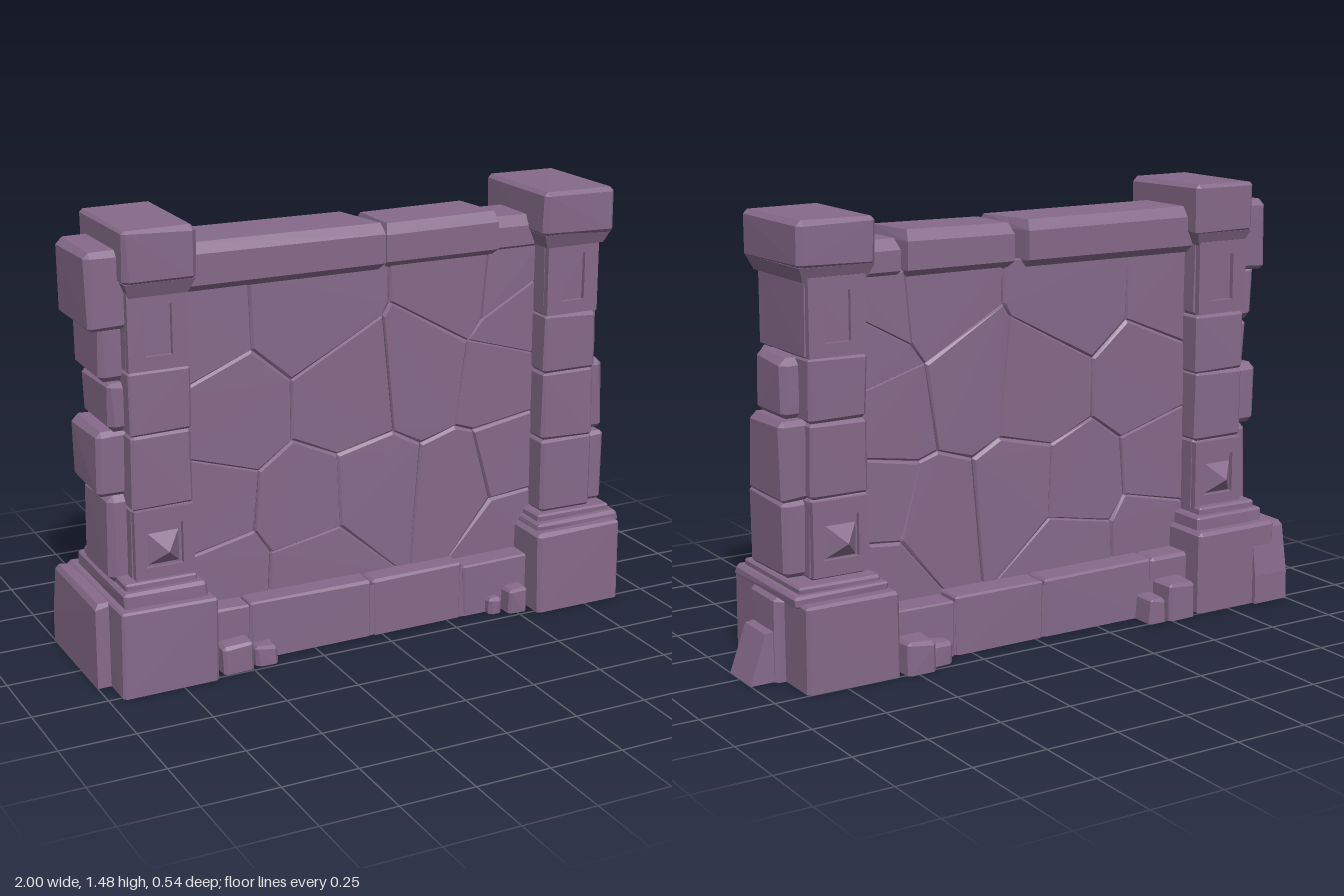
import * as THREE from 'three';
import { ConvexGeometry } from 'three/addons/geometries/ConvexGeometry.js';

const stoneMat = new THREE.MeshStandardMaterial({ color: 0x866a8a, flatShading: true });

export function createModel() {
  const root = new THREE.Group();
  let seed = 7;
  const rnd = () => (seed = (seed * 16807) % 2147483647) / 2147483647;

  function add(parent, name, geo) {
    const m = new THREE.Mesh(geo, stoneMat);
    m.name = name;
    parent.add(m);
  }
  const box = (parent, name, [x0, x1], [y0, y1], [z0, z1]) =>
    add(parent, name, new THREE.BoxGeometry(x1 - x0, y1 - y0, z1 - z0)
      .translate((x0 + x1) / 2, (y0 + y1) / 2, (z0 + z1) / 2));
  const hull = (parent, name, pts) =>
    add(parent, name, new ConvexGeometry(pts.map(p => new THREE.Vector3(...p))));

  // Roughly hewn block: every corner is nudged inward and chamfered
  function block(parent, name, [x0, x1], [y0, y1], [z0, z1], bevel = 0.01, rough = 0.006) {
    const pts = [];
    for (const i of [0, 1]) for (const j of [0, 1]) for (const k of [0, 1]) {
      const s = [i ? -1 : 1, j ? -1 : 1, k ? -1 : 1];
      const c = [i ? x1 : x0, j ? y1 : y0, k ? z1 : z0].map((v, a) => v + s[a] * rnd() * rough);
      if (y0 === 0 && !j) c[1] = 0;
      const b = bevel * (0.6 + 0.8 * rnd());
      for (let a = 0; a < 3; a++)
        pts.push(c.map((v, n) => (n === a || (n === 1 && y0 === 0 && !j) ? v : v + s[n] * b)));
    }
    hull(parent, name, pts);
  }

  // ---- Wall of irregular, tightly fitted stones ----
  const wall = new THREE.Group();
  wall.name = 'wall';
  root.add(wall);
  box(wall, 'wallCore', [-0.67, 0.63], [0.14, 1.26], [-0.065, 0.093]);

  const seeds = [
    [-0.62, 1.12], [-0.24, 1.13], [0.37, 1.14], [0.47, 1.13], [0.53, 1.02],
    [-0.5, 0.83], [-0.08, 0.83], [0.21, 0.86], [0.47, 0.82],
    [-0.6, 0.5], [-0.24, 0.47], [0, 0.48], [0.34, 0.45], [0.52, 0.5],
    [-0.55, 0.27], [-0.2, 0.25], [0.54, 0.28]
  ];
  // Keep the part of a polygon on the near side of the line between two seeds
  function clip(poly, a, b) {
    const n = [b[0] - a[0], b[1] - a[1]], mid = [(a[0] + b[0]) / 2, (a[1] + b[1]) / 2];
    const d = p => (p[0] - mid[0]) * n[0] + (p[1] - mid[1]) * n[1];
    const out = [];
    poly.forEach((p, i) => {
      const q = poly[(i + 1) % poly.length], dp = d(p), dq = d(q);
      if (dp <= 0) out.push(p);
      if (dp * dq < 0) {
        const t = dp / (dp - dq);
        out.push([p[0] + (q[0] - p[0]) * t, p[1] + (q[1] - p[1]) * t]);
      }
    });
    return out;
  }
  for (const s of seeds) {
    let poly = [[-0.69, 0.17], [0.64, 0.17], [0.64, 1.27], [-0.69, 1.27]];
    for (const o of seeds) if (o !== s) poly = clip(poly, s, o);
    const front = 0.11 - rnd() * 0.006, back = -0.082 + rnd() * 0.006;
    const pts = [];
    for (const p of poly) {
      const len = Math.hypot(p[0] - s[0], p[1] - s[1]);
      const at = (inset, z) => {
        const k = 1 - inset / len;
        return [s[0] + (p[0] - s[0]) * k, s[1] + (p[1] - s[1]) * k, z];
      };
      const chip = 0.005 + rnd() * 0.007, dip = rnd() * 0.004;
      pts.push(at(chip, front - dip), at(0.001, front - 0.011), at(0.001, back + 0.011), at(chip, back + dip));
    }
    hull(wall, 'wallStone', pts);
  }

  // ---- Projecting base course ----
  box(root, 'baseCore', [-0.66, 0.6], [0, 0.18], [-0.165, 0.175]);
  const course = [-0.66, -0.48, -0.035, 0.31, 0.6];
  for (let i = 0; i < 4; i++)
    block(root, 'baseStone', [course[i], course[i + 1]], [0, i === 3 ? 0.19 : 0.203], [-0.175, 0.183], 0.008, 0.005);

  // ---- Coping stones: chamfered top, undercut bottom, right end cut askew ----
  function coping(x0, x1, y0, y1, z0, z1, skew) {
    const pts = [];
    for (const [x, dir, cut] of [[x0, 1, 0], [x1, -1, skew]]) {
      const e = x + dir * 0.01, sag = rnd() * 0.008;
      pts.push([e - cut, y0, z0 + 0.035], [e, y0, z1 - 0.035], [x - cut, y0 + 0.026, z0], [x, y0 + 0.026, z1],
        [x - cut, y1 - 0.035 - sag, z0], [x, y1 - 0.035 - sag, z1],
        [e - cut, y1 - sag, z0 + 0.025], [e, y1 - sag, z1 - 0.02]);
    }
    hull(root, 'copingStone', pts);
  }
  coping(-0.68, 0.03, 1.243, 1.405, -0.115, 0.14, 0.04);
  coping(0.04, 0.455, 1.243, 1.4, -0.105, 0.13, 0.02);
  coping(0.455, 0.62, 1.243, 1.375, -0.095, 0.115, 0);

  // ---- Pillars ----
  const rect = (w, h) => [[-w, -h], [w, -h], [w, h], [-w, h]].map(p => new THREE.Vector2(...p));
  // Panel with a rectangular recess
  function frame(parent, name, x, y, z, w, h, iw, ih) {
    const shape = new THREE.Shape(rect(w, h));
    shape.holes.push(new THREE.Path(rect(iw, ih).reverse()));
    add(parent, name, new THREE.ExtrudeGeometry(shape, { depth: 0.022, bevelEnabled: false })
      .translate(x, y, z - 0.011));
  }
  function stud(parent, x, y, z, side) {
    const r = 0.052;
    hull(parent, 'pyramidStud', [[x - r, y - r, z], [x + r, y - r, z], [x + r, y + r, z], [x - r, y + r, z],
      [x, y, z + side * 0.055]]);
  }
  function pillar(name, p) {
    const g = new THREE.Group();
    g.name = name;
    root.add(g);
    block(g, 'plinth', p.plinth, [0, 0.289], [-0.257, 0.272], 0.01);
    block(g, 'lowerStep', p.step, [0.27, p.stepTop], [-0.215, 0.235], 0.008, 0.004);
    block(g, 'upperStep', [p.step[0] + 0.015, p.step[1] - 0.025], [0.29, p.stepTop + 0.022],
      [-0.19, 0.207], 0.008, 0.004);
    const cuts = [0.33, 0.59, 0.83, 1.03, 1.29];
    const inset = side => [p.studs.includes(side) ? 0.013 : 0, 0, 0, 0.013];
    const back = inset(-1), front = inset(1);
    for (let i = 0; i < 4; i++)
      block(g, 'shaftStone', p.shaft, [cuts[i] - 0.003, cuts[i + 1] + 0.003],
        [-0.157 + back[i], 0.188 - front[i]], 0.009, 0.005);
    const cx = (p.shaft[0] + p.shaft[1]) / 2, w = (p.shaft[1] - p.shaft[0]) / 2 - 0.004;
    for (const z of [0.177, -0.146])
      frame(g, 'upperPanel', cx, 1.158, z, w, 0.124, 0.045, 0.08);
    for (const side of p.studs) {
      frame(g, 'lowerPanel', cx, 0.462, side > 0 ? 0.177 : -0.146, w, 0.122, 0.062, 0.07);
      stud(g, cx, 0.45, side > 0 ? 0.172 : -0.15, side);
    }
    // Neck tapers outward up to the capital
    const pts = [];
    for (const [y, t] of [[1.268, 0.028], [1.315, 0.008]])
      for (const x of [p.cap[0] + t, p.cap[1] - t])
        for (const z of [-0.176 + t, 0.22 - t]) pts.push([x, y, z]);
    hull(g, 'neck', pts);
    block(g, 'capital', p.cap, [1.303, p.top], [-0.175, 0.221], 0.014, 0.005);
  }
  pillar('rightPillar', { plinth: [-0.955, -0.622], step: [-0.93, -0.645], stepTop: 0.335,
    shaft: [-0.875, -0.668], cap: [-0.892, -0.646], top: 1.482, studs: [1, -1] });
  pillar('leftPillar', { plinth: [0.558, 0.888], step: [0.575, 0.905], stepTop: 0.31,
    shaft: [0.61, 0.815], cap: [0.577, 0.852], top: 1.462, studs: [-1] });

  // ---- Toothed stones on the outer ends ----
  const ends = [
    [[0.7, 0.886], [0.33, 0.585], [-0.105, 0.155]],
    [[0.7, 0.898], [0.58, 0.84], [-0.12, 0.125]],
    [[0.7, 0.872], [0.835, 1.033], [-0.09, 0.113]],
    [[0.8, 0.92], [0, 0.285], [-0.1, 0.1]],
    [[-0.935, -0.8], [0.33, 0.625], [-0.12, 0.13]],
    [[-0.963, -0.8], [0.62, 0.838], [-0.13, 0.125]],
    [[-0.925, -0.8], [0.83, 0.995], [-0.11, 0.14]],
    [[-0.945, -0.8], [0.99, 1.175], [-0.12, 0.13]],
    [[-0.99, -0.8], [1.165, 1.413], [-0.13, 0.165]]
  ];
  for (const [x, y, z] of ends) block(root, 'endStone', x, y, z, 0.017, 0.006);

  // End foundation stone, its back leaning inward
  hull(root, 'foundationStone', [[-1, 0, -0.27], [-0.86, 0, -0.27], [-1, 0, 0.155], [-0.86, 0, 0.155],
    [-1, 0.1, -0.268], [-0.86, 0.1, -0.268], [-0.995, 0.265, -0.245], [-0.86, 0.265, -0.245],
    [-0.997, 0.265, 0.15], [-0.985, 0.283, -0.235], [-0.985, 0.283, 0.14], [-0.86, 0.283, 0.14]]);

  // Leaning slab against the outer end
  hull(root, 'leaningSlab', [[0.88, 0, -0.08], [0.88, 0, 0.075], [1, 0, -0.08], [1, 0, 0.075],
    [0.88, 0.17, -0.075], [0.88, 0.17, 0.07], [0.945, 0.16, -0.075], [0.945, 0.16, 0.07]]);

  // ---- Rubble at the foot ----
  const rubble = [
    [[-0.605, -0.49], [0, 0.1], [0.14, 0.247]], [[-0.49, -0.4], [0, 0.07], [0.15, 0.237]],
    [[0.46, 0.545], [0, 0.09], [0.14, 0.238]], [[0.4, 0.46], [0, 0.06], [0.14, 0.215]],
    [[-0.605, -0.485], [0, 0.13], [-0.27, -0.14]], [[-0.485, -0.41], [0, 0.09], [-0.265, -0.14]],
    [[0.43, 0.545], [0, 0.11], [-0.27, -0.14]], [[0.345, 0.43], [0, 0.08], [-0.235, -0.14]]
  ];
  for (const [x, y, z] of rubble) block(root, 'rubbleStone', x, y, z, 0.01, 0.008);

  return root;
}
